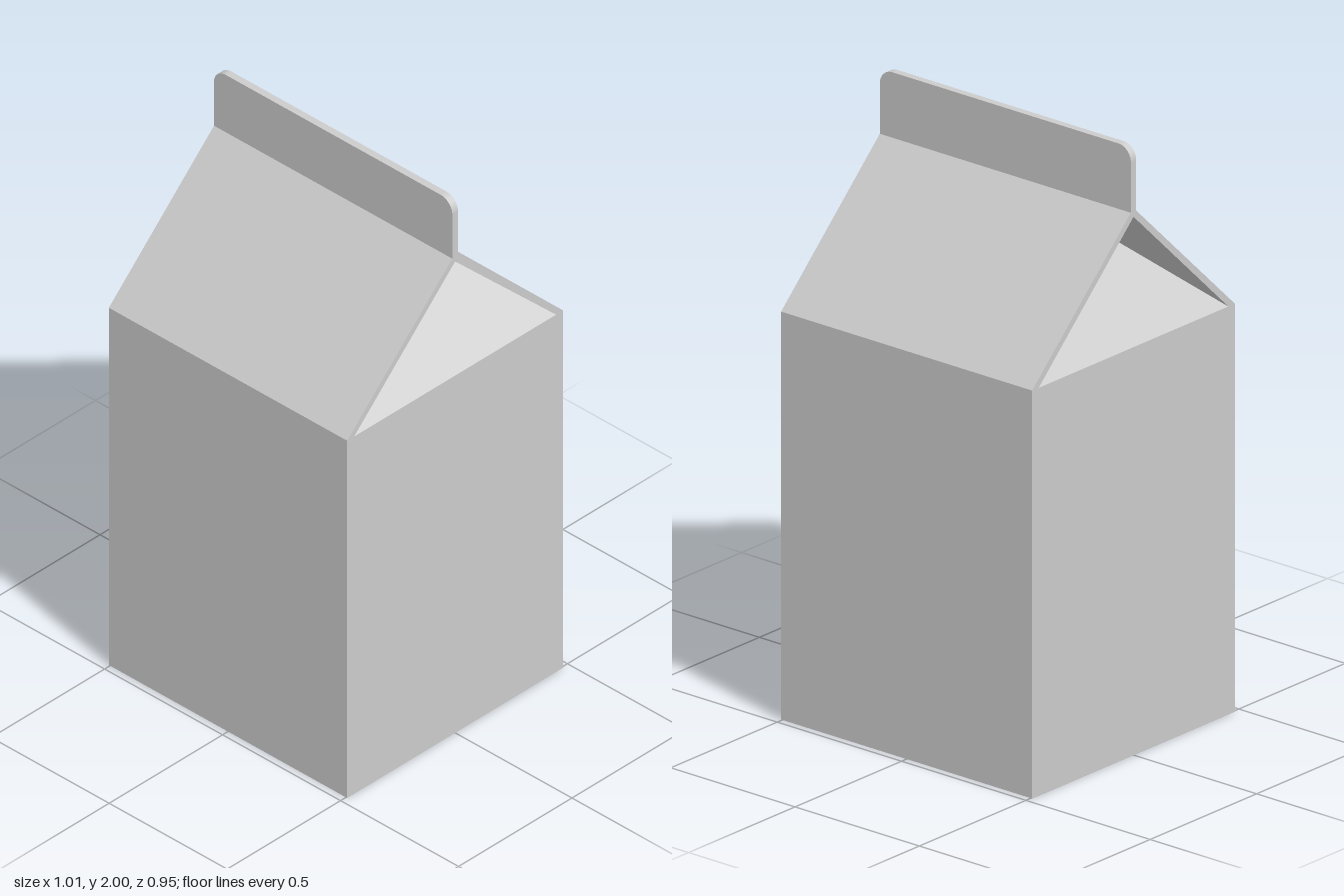
import * as THREE from 'three';

const W = 1.01, D = 0.952;          // carton width and depth
const WALL = 1.34, RIDGE = 1.785;   // top of walls, foot of the seal
const T = 0.0125;                   // half thickness of the seal
const INNER_Z = 0.445, INNER_Y = 1.768;

const material = new THREE.MeshStandardMaterial({ color: 0xcccccc, flatShading: true });
const smooth = new THREE.MeshStandardMaterial({ color: 0xcccccc });
const thin = new THREE.MeshStandardMaterial({ color: 0xcccccc, flatShading: true, side: THREE.DoubleSide });

function add(group, name, geometry, mat = material) {
  const mesh = new THREE.Mesh(geometry, mat);
  mesh.name = name;
  group.add(mesh);
  return mesh;
}

export function createModel() {
  const carton = new THREE.Group();
  carton.name = 'carton';

  // Square body
  const body = new THREE.BoxGeometry(W, WALL, D);
  body.translate(0, WALL / 2, 0);
  add(carton, 'body', body);

  // Thin pitched roof: an inverted V swept along x
  const v = new THREE.Shape([
    [-D / 2, WALL], [-INNER_Z, WALL], [0, INNER_Y], [INNER_Z, WALL],
    [D / 2, WALL], [T, RIDGE], [-T, RIDGE],
  ].map(([z, y]) => new THREE.Vector2(z, y)));
  const roof = new THREE.ExtrudeGeometry(v, { depth: W, bevelEnabled: false });
  roof.translate(0, 0, -W / 2).rotateY(Math.PI / 2);
  add(carton, 'roof', roof);

  // Gable ends folded inward until they meet under the ridge
  for (const s of [1, -1]) {
    const gable = new THREE.BufferGeometry();
    const x = s * W / 2;
    gable.setAttribute('position', new THREE.Float32BufferAttribute([
      x, WALL, s * INNER_Z, x, WALL, -s * INNER_Z, 0, INNER_Y, 0,
    ], 3));
    gable.computeVertexNormals();
    add(carton, s > 0 ? 'leftGableFold' : 'rightGableFold', gable, thin);
  }

  // Upright seal with rounded top corners
  const h = W / 2, r = 0.05, top = 2;
  const outline = new THREE.Shape();
  outline.moveTo(-h, RIDGE);
  outline.lineTo(h, RIDGE);
  outline.lineTo(h, top - r);
  outline.absarc(h - r, top - r, r, 0, Math.PI / 2);
  outline.lineTo(-h + r, top);
  outline.absarc(-h + r, top - r, r, Math.PI / 2, Math.PI);
  outline.closePath();
  const seal = new THREE.ExtrudeGeometry(outline, { depth: 2 * T, bevelEnabled: false, curveSegments: 10 });
  seal.translate(0, 0, -T);
  add(carton, 'topSeal', seal, smooth);

  return carton;
}
